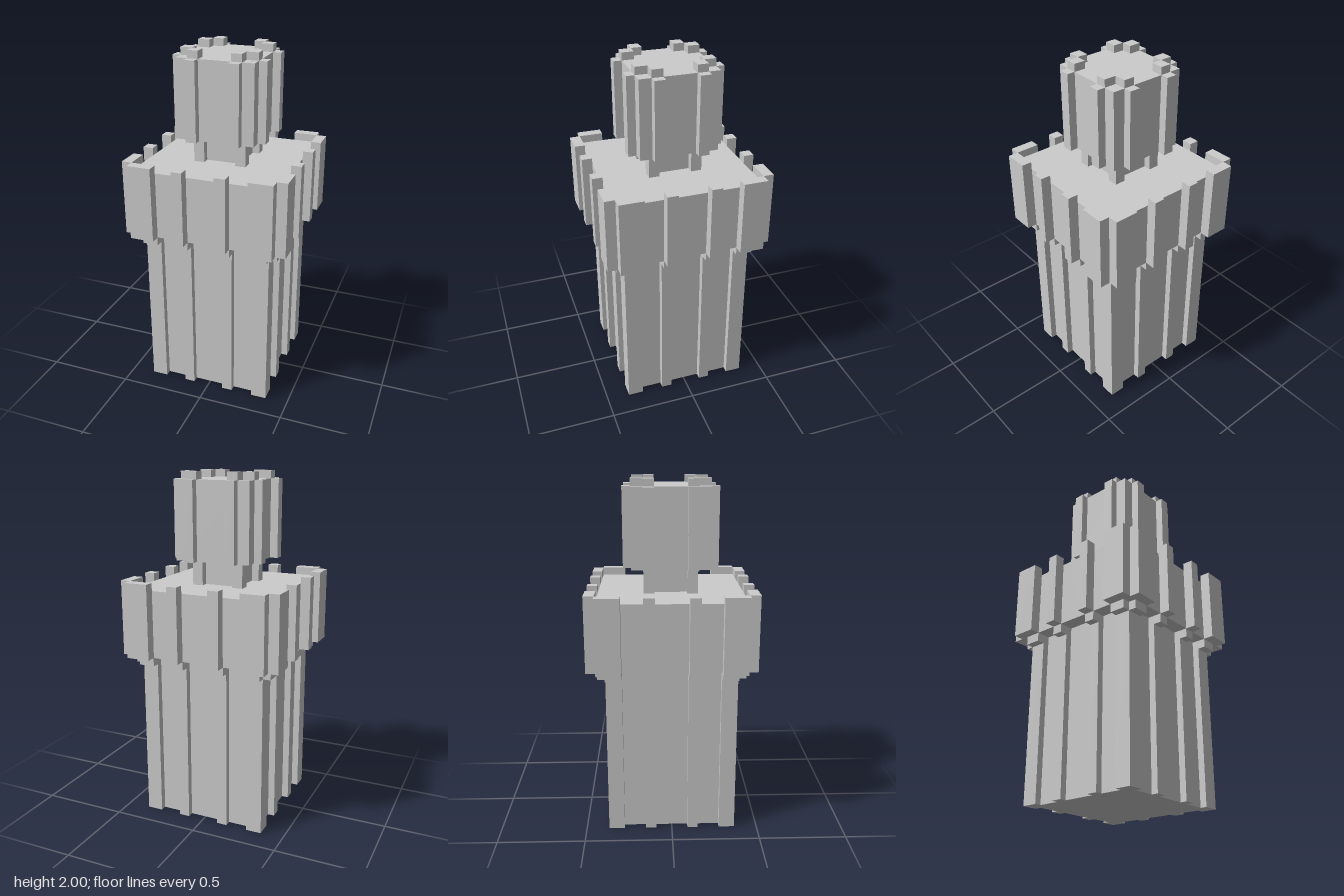
import * as THREE from 'three';

export function createModel() {
  const tower = new THREE.Group();
  tower.name = 'castleTower';
  const stone = new THREE.MeshStandardMaterial({ color: 0xcccccc, flatShading: true });

  // Box given by its min and max along each axis
  function block(parent, name, x0, x1, y0, y1, z0, z1) {
    const mesh = new THREE.Mesh(new THREE.BoxGeometry(x1 - x0, y1 - y0, z1 - z0), stone);
    mesh.position.set((x0 + x1) / 2, (y0 + y1) / 2, (z0 + z1) / 2);
    mesh.name = name;
    parent.add(mesh);
  }

  // Square block centred on the tower axis
  const core = (name, half, y0, y1) => block(tower, name, -half, half, y0, y1, -half, half);

  // Mirrored pairs of strips [from, to] along x, repeated on all four sides
  function ring(name, strips, y0, y1, inner, outer) {
    for (let side = 0; side < 4; side++) {
      const group = new THREE.Group();
      group.name = name + 'Side';
      group.rotation.y = side * Math.PI / 2;
      for (const [a, b] of strips) {
        block(group, name, a, b, y0, y1, inner, outer);
        block(group, name, -b, -a, y0, y1, inner, outer);
      }
      tower.add(group);
    }
  }

  const slim = [0.092, 0.153];

  // Shaft: recessed walls, slim pilasters and solid corner posts
  core('shaftWall', 0.33, 0, 0.98);
  ring('shaftPilaster', [slim], 0, 0.98, 0.33, 0.368);
  for (const sx of [-1, 1]) for (const sz of [-1, 1]) {
    const x = [0.277 * sx, 0.368 * sx].sort((a, b) => a - b);
    const z = [0.277 * sz, 0.368 * sz].sort((a, b) => a - b);
    block(tower, 'shaftCorner', x[0], x[1], 0, 0.98, z[0], z[1]);
  }

  // Corbels carrying the wide gallery
  ring('corbel', [slim, [0.277, 0.368]], 0.93, 0.98, 0.368, 0.413);

  // Gallery with pilasters that rise above the deck as battlements
  core('gallery', 0.413, 0.98, 1.365);
  ring('galleryPilaster', [slim, [0.275, 0.413]], 0.98, 1.41, 0.413, 0.472);

  // Neck: small core with four corner legs
  core('neckCore', 0.11, 1.365, 1.51);
  for (const x of [-0.1225, 0.1225]) for (const z of [-0.1225, 0.1225]) {
    block(tower, 'neckLeg', x - 0.0305, x + 0.0305, 1.365, 1.51, z - 0.0305, z + 0.0305);
  }

  // Turret with outer pilasters and merlons standing on its roof
  core('turret', 0.221, 1.51, 1.957);
  ring('turretPilaster', [slim], 1.51, 1.957, 0.221, 0.267);
  ring('merlon', [slim], 1.957, 2, 0.153, 0.221);

  return tower;
}
